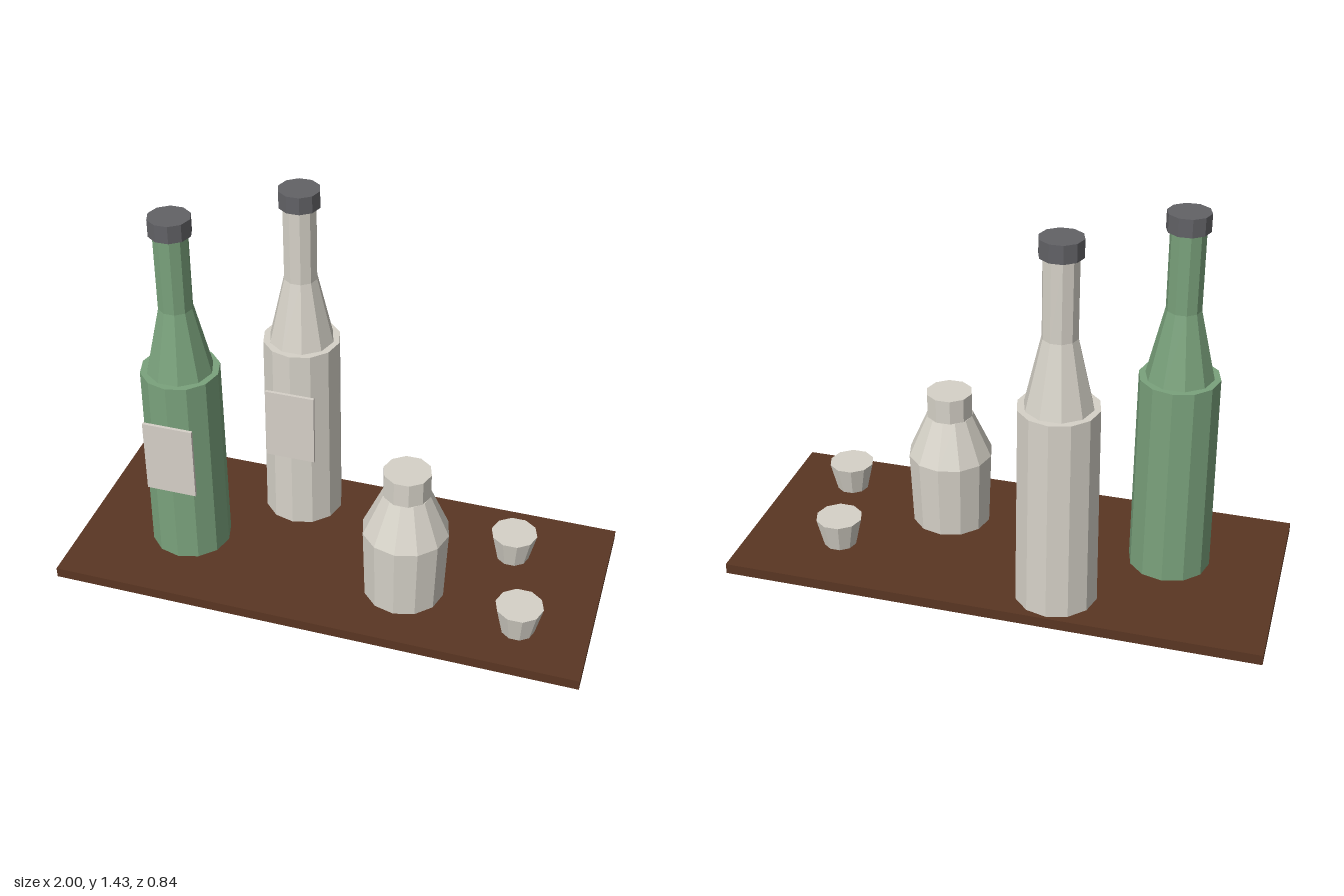
import * as THREE from 'three';

const material = (name, color) => {
  const m = new THREE.MeshStandardMaterial({ color, flatShading: true });
  m.name = name;
  return m;
};

export function createModel() {
  const wood = material('darkWood', 0x5a3623);
  const green = material('greenGlass', 0x7aa27c);
  const cream = material('creamCeramic', 0xd6d2c8);
  const paper = material('labelPaper', 0xd6d0c8);
  const capGrey = material('capGrey', 0x626266);

  const model = new THREE.Group();
  model.name = 'servingTray';

  function box(parent, name, mat, size, pos) {
    const mesh = new THREE.Mesh(new THREE.BoxGeometry(...size), mat);
    mesh.name = name;
    mesh.position.set(...pos);
    parent.add(mesh);
  }

  // Tapered prism from y0 to y1, with a corner on the x axis
  function prism(parent, name, mat, sides, r0, r1, y0, y1) {
    const geo = new THREE.CylinderGeometry(r1, r0, y1 - y0, sides);
    geo.rotateY(Math.PI / 2);
    const mesh = new THREE.Mesh(geo, mat);
    mesh.name = name;
    mesh.position.y = (y0 + y1) / 2;
    parent.add(mesh);
  }

  function group(name, x, z) {
    const g = new THREE.Group();
    g.name = name;
    g.position.set(x, 0, z);
    model.add(g);
    return g;
  }

  // Tray board
  box(model, 'tray', wood, [2, 0.04, 0.84], [0, 0.02, 0]);

  // Two tall bottles with a front label
  for (const [name, mat, x, z] of [
    ['greenBottle', green, -0.585, 0.066],
    ['creamBottle', cream, -0.229, -0.257],
  ]) {
    const bottle = group(name, x, z);
    prism(bottle, 'body', mat, 12, 0.152, 0.146, 0.04, 0.815);
    prism(bottle, 'shoulder', mat, 10, 0.123, 0.063, 0.815, 1.075);
    prism(bottle, 'neck', mat, 10, 0.063, 0.063, 1.075, 1.365);
    prism(bottle, 'cap', capGrey, 10, 0.077, 0.077, 1.365, 1.43);
    box(bottle, 'label', paper, [0.19, 0.29, 0.012], [0, 0.508, 0.154]);
  }

  // Squat flask
  const flask = group('flask', 0.289, 0.132);
  prism(flask, 'body', cream, 12, 0.151, 0.161, 0.04, 0.33);
  prism(flask, 'shoulder', cream, 12, 0.161, 0.088, 0.33, 0.495);
  prism(flask, 'neck', cream, 10, 0.088, 0.088, 0.495, 0.59);

  // Small cups
  for (const [name, x, z] of [['backCup', 0.642, -0.163], ['frontCup', 0.74, 0.225]]) {
    prism(group(name, x, z), 'cup', cream, 10, 0.062, 0.088, 0.04, 0.153);
  }

  return model;
}
